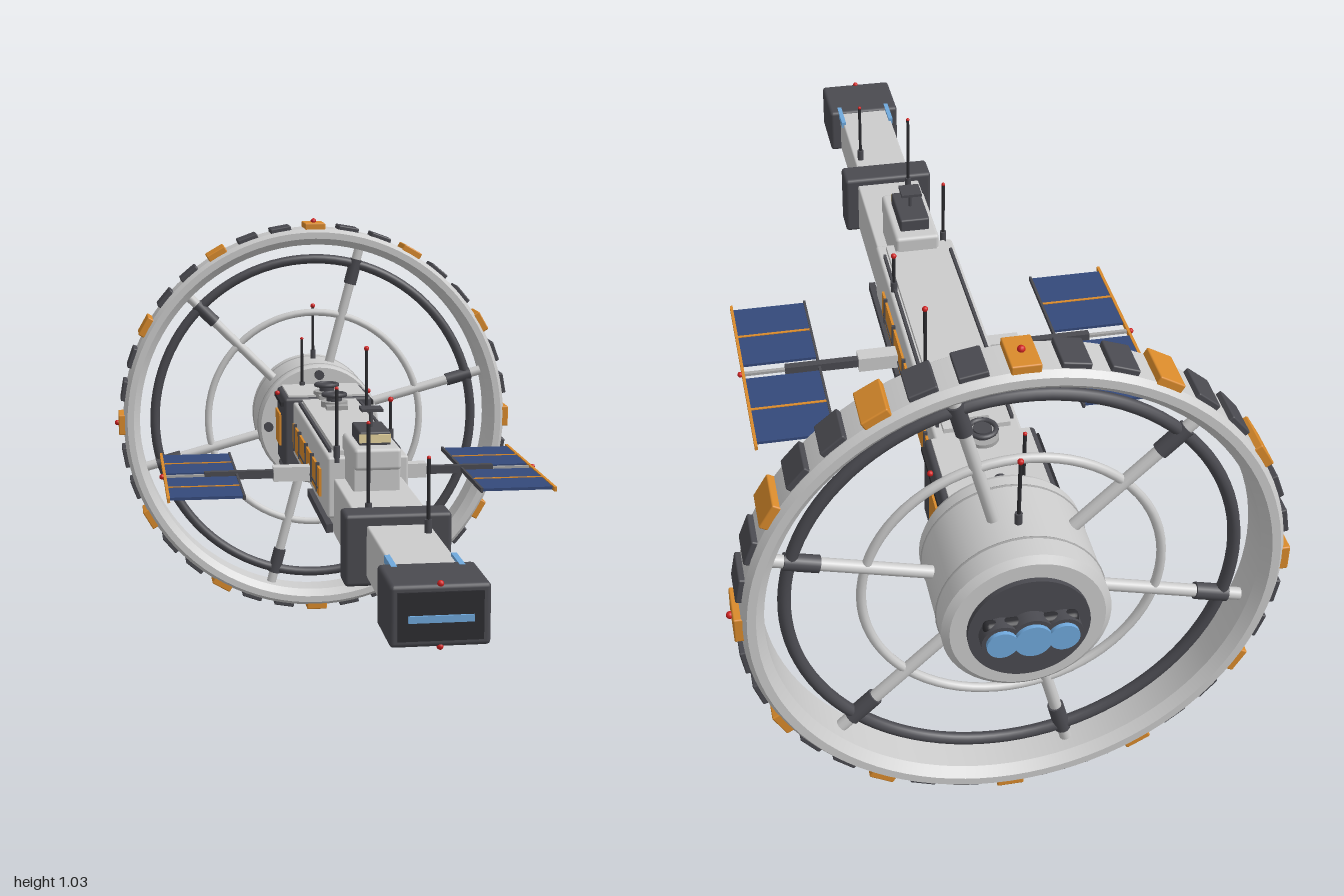
import * as THREE from 'three';
import { RoundedBoxGeometry } from 'three/addons/geometries/RoundedBoxGeometry.js';

const mat = (color) => new THREE.MeshStandardMaterial({ color });
const M = {
  grey: mat(0xcccccc), mid: mat(0xa6a6a6), dark: mat(0x4a4a50), black: mat(0x2c2c30),
  orange: mat(0xd98a2b), solar: mat(0x34497a), glow: mat(0x6fa8dc), red: mat(0xd02020), cream: mat(0xe8d6a0),
};
const CY = 0.52, RZ = -0.835; // spin axis height and ring plane

export function createModel() {
  const root = new THREE.Group();
  root.name = 'spaceStation';

  const add = (name, geo, m, x, y, z, parent = root) => {
    const mesh = new THREE.Mesh(geo, m);
    mesh.name = name;
    mesh.position.set(x, y, z);
    parent.add(mesh);
    return mesh;
  };
  // Box given by its extents on each axis
  const box = (name, m, x0, x1, y0, y1, z0, z1, r = 0, parent = root) => {
    const s = [x1 - x0, y1 - y0, z1 - z0];
    const geo = r ? new RoundedBoxGeometry(...s, 2, r) : new THREE.BoxGeometry(...s);
    return add(name, geo, m, (x0 + x1) / 2, (y0 + y1) / 2, (z0 + z1) / 2, parent);
  };
  const pair = (name, m, x0, x1, ...rest) => {
    box(name, m, x0, x1, ...rest);
    box(name, m, -x1, -x0, ...rest);
  };
  const cylY = (name, m, r, y0, y1, x, z, r2 = r) =>
    add(name, new THREE.CylinderGeometry(r2, r, y1 - y0, 16), m, x, (y0 + y1) / 2, z);
  const cylZ = (name, m, r, z0, z1, x = 0, y = CY, seg = 48) => {
    const c = add(name, new THREE.CylinderGeometry(r, r, z1 - z0, seg), m, x, y, (z0 + z1) / 2);
    c.rotation.x = Math.PI / 2;
    return c;
  };
  const light = (x, y, z, r = 0.006) => add('beacon', new THREE.SphereGeometry(r, 10, 8), M.red, x, y, z);

  // ---- Rotating ring ----
  const ring = new THREE.Group();
  ring.name = 'habitatRing';
  ring.position.set(0, CY, RZ);
  root.add(ring);
  const profile = [[0.452, -0.035], [0.468, -0.052], [0.484, -0.052], [0.493, -0.04],
    [0.493, 0.04], [0.484, 0.052], [0.468, 0.052], [0.452, 0.035], [0.452, -0.035]];
  // Separate band per profile edge keeps the chamfers crisp
  for (let i = 0; i < profile.length - 1; i++) {
    const band = new THREE.LatheGeometry([profile[i], profile[i + 1]].map((p) => new THREE.Vector2(...p)), 96);
    add('rimBand', band, M.grey, 0, 0, 0, ring).rotation.x = Math.PI / 2;
  }
  add('innerDarkHoop', new THREE.TorusGeometry(0.413, 0.012, 12, 96), M.dark, 0, 0, 0, ring);
  add('supportHoop', new THREE.TorusGeometry(0.276, 0.009, 10, 72), M.grey, 0, 0, 0, ring);
  for (let i = 0; i < 36; i++) {
    const arm = new THREE.Group();
    arm.name = 'rimModule';
    arm.rotation.z = (i * Math.PI) / 18;
    ring.add(arm);
    const w = i % 3 ? 0.038 : 0.043;
    box('rimTile', i % 3 ? M.dark : M.orange, 0.482, i % 3 ? 0.503 : 0.506, -0.026, 0.026, -w, w, 0.003, arm);
    if (i % 9 === 0) add('rimBeacon', new THREE.SphereGeometry(0.007, 10, 8), M.red, 0.509, 0, 0, arm);
  }
  for (let i = 0; i < 6; i++) {
    const arm = new THREE.Group();
    arm.name = 'spoke';
    arm.rotation.z = Math.PI / 12 + (i * Math.PI) / 3;
    ring.add(arm);
    const rod = (name, m, r, a, b) => {
      add(name, new THREE.CylinderGeometry(r, r, b - a, 14), m, (a + b) / 2, 0, 0, arm).rotation.z = Math.PI / 2;
    };
    rod('spokeTube', M.grey, 0.012, 0.14, 0.46);
    rod('spokeCollar', M.dark, 0.016, 0.36, 0.425);
  }

  // ---- Hub ----
  const hubProfile = [[0, 0.955], [0.14, 0.955], [0.153, 0.945], [0.153, 0.735], [0.148, 0.725], [0, 0.725]];
  for (let i = 0; i < hubProfile.length - 1; i++) {
    const pts = [hubProfile[i + 1], hubProfile[i]].map((p) => new THREE.Vector2(p[0], -p[1]));
    // Profile runs front to back; reversed so faces point outward
    const band = new THREE.LatheGeometry(pts.reverse(), 48);
    add('hubDrum', band, M.grey, 0, CY, 0).rotation.x = Math.PI / 2;
  }
  for (const z of [-0.9, -0.76]) {
    add('hubSeam', new THREE.TorusGeometry(0.152, 0.003, 6, 48), M.mid, 0, CY, z);
  }
  for (let i = 0; i < 8; i++) {
    const a = (i * Math.PI) / 4;
    cylZ('hubBolt', M.dark, 0.012, -0.73, -0.712, 0.13 * Math.cos(a), CY + 0.13 * Math.sin(a), 12);
  }
  cylZ('rearPlate', M.dark, 0.11, -0.965, -0.95);
  box('engineBlock', M.black, -0.085, 0.085, CY - 0.035, CY + 0.035, -0.985, -0.96, 0.01);
  for (const x of [-0.055, 0, 0.055]) {
    const r = x ? 0.028 : 0.034;
    cylZ('engineBell', M.dark, r + 0.008, -0.99, -0.96, x, CY, 24);
    cylZ('engineGlow', M.glow, r, -0.998, -0.98, x, CY, 24);
  }

  // ---- Neck ----
  box('neckBlock', M.dark, -0.107, 0.107, 0.445, 0.622, -0.728, -0.54, 0.008);
  box('neckRoof', M.grey, -0.095, 0.095, 0.615, 0.627, -0.725, -0.55);
  pair('neckPanel', M.orange, 0.1, 0.112, 0.49, 0.57, -0.715, -0.62);
  pair('neckRail', M.black, 0.104, 0.114, 0.6, 0.61, -0.72, -0.55);
  for (const s of [-1, 1]) light(s * 0.114, 0.62, -0.64);

  // ---- Main hull ----
  box('mainHull', M.grey, -0.085, 0.085, 0.482, 0.612, -0.545, 0.15, 0.006);
  box('hullRoof', M.grey, -0.065, 0.065, 0.608, 0.622, -0.52, 0.13);
  box('hullKeel', M.mid, -0.06, 0.06, 0.465, 0.49, -0.54, 0.1);
  pair('sidePanel', M.orange, 0.08, 0.09, 0.505, 0.565, -0.51, 0.04);
  for (const z of [0, -0.1, -0.22, -0.36, -0.46]) pair('panelRib', M.dark, 0.084, 0.093, 0.508, 0.572, z - 0.003, z + 0.003);
  pair('panelStripe', M.dark, 0.084, 0.092, 0.518, 0.522, -0.38, 0.02);
  pair('roofRail', M.dark, 0.07, 0.076, 0.61, 0.62, -0.5, 0.1);
  pair('slideRail', M.dark, 0.08, 0.094, 0.464, 0.482, -0.15, 0.2);

  // ---- Forward beam, collar and nose ----
  box('middleBeam', M.grey, -0.072, 0.072, 0.448, 0.566, 0.02, 0.5, 0.004);
  box('beamCollar', M.dark, -0.102, 0.102, 0.443, 0.582, 0.482, 0.55, 0.008);
  box('frontBeam', M.grey, -0.06, 0.06, 0.46, 0.56, 0.54, 0.86, 0.004);
  box('noseBlock', M.dark, -0.085, 0.085, 0.458, 0.565, 0.845, 0.99, 0.008);
  box('noseFace', M.black, -0.072, 0.072, 0.47, 0.553, 0.98, 0.994);
  box('noseWindow', M.glow, -0.055, 0.055, 0.502, 0.514, 0.985, 0.998);
  pair('noseStrip', M.glow, 0.054, 0.064, 0.552, 0.566, 0.79, 0.87);
  light(0, 0.565, 0.985);
  light(0, 0.458, 0.985);

  // ---- Bridge pod ----
  box('podBase', M.grey, -0.048, 0.048, 0.56, 0.625, 0.1, 0.275, 0.004);
  box('podDeck', M.grey, -0.048, 0.048, 0.61, 0.655, 0.1, 0.29, 0.008);
  box('podCabin', M.dark, -0.032, 0.032, 0.65, 0.682, 0.13, 0.25, 0.004);
  box('podWindow', M.cream, -0.032, 0.032, 0.66, 0.677, 0.24, 0.253);
  cylY('podMast', M.dark, 0.004, 0.68, 0.72, 0, 0.19);
  box('podCrossbar', M.dark, -0.022, 0.022, 0.716, 0.722, 0.168, 0.212);

  // ---- Roof turrets ----
  for (const z of [-0.415, -0.565]) {
    cylY('turretBase', M.mid, 0.032, 0.618, 0.635, 0, z);
    cylY('turretNeck', M.dark, 0.018, 0.63, 0.652, 0, z);
    add('turretRing', new THREE.TorusGeometry(0.026, 0.005, 8, 24), M.dark, 0, 0.65, z).rotation.x = Math.PI / 2;
    box('turretVent', M.mid, -0.025, 0.025, 0.618, 0.632, z + 0.035, z + 0.06);
  }

  // ---- Antennas: x, z, foot, tip, beacon ----
  for (const [x, z, y0, y1, lit] of [
    [0.045, 0.615, 0.55, 0.7, 0], [-0.045, 0.467, 0.55, 0.74, 0], [-0.065, 0.145, 0.6, 0.755, 0],
    [0.075, -0.03, 0.6, 0.7, 1], [0.065, -0.33, 0.6, 0.77, 1], [-0.045, -0.71, 0.6, 0.745, 0], [0, -0.86, 0.66, 0.81, 1],
  ]) {
    cylY('antenna', M.black, 0.0035, y0, y1, x, z);
    cylY('antennaFoot', M.dark, 0.007, y0, y0 + 0.035, x, z);
    light(x, y1, z, lit ? 0.006 : 0.004);
  }

  // ---- Solar wings ----
  for (const s of [-1, 1]) {
    const wing = new THREE.Group();
    wing.name = s > 0 ? 'leftSolarWing' : 'rightSolarWing';
    root.add(wing);
    const part = (name, m, x0, x1, y0, y1, z0, z1) =>
      box(name, m, Math.min(s * x0, s * x1), Math.max(s * x0, s * x1), y0, y1, z0, z1, 0, wing);
    part('wingRoot', M.grey, 0.08, 0.172, 0.505, 0.537, -0.157, -0.123);
    part('wingArm', M.dark, 0.17, 0.325, 0.511, 0.529, -0.148, -0.132);
    part('wingSpar', M.mid, 0.32, 0.413, 0.517, 0.523, -0.144, -0.136);
    for (const z of [-0.37, -0.262, -0.112, -0.012]) {
      part('solarPanel', M.solar, 0.255, 0.41, 0.517, 0.523, z, z + 0.102);
    }
    part('innerPanelFrame', M.dark, 0.251, 0.256, 0.515, 0.525, -0.375, 0.095);
    part('outerPanelFrame', M.orange, 0.409, 0.415, 0.515, 0.525, -0.385, 0.105);
    for (const z of [-0.265, -0.012]) part('panelSeam', M.orange, 0.255, 0.41, 0.516, 0.5245, z - 0.003, z + 0.003);
    light(s * 0.418, CY, -0.14);
  }
  return root;
}
